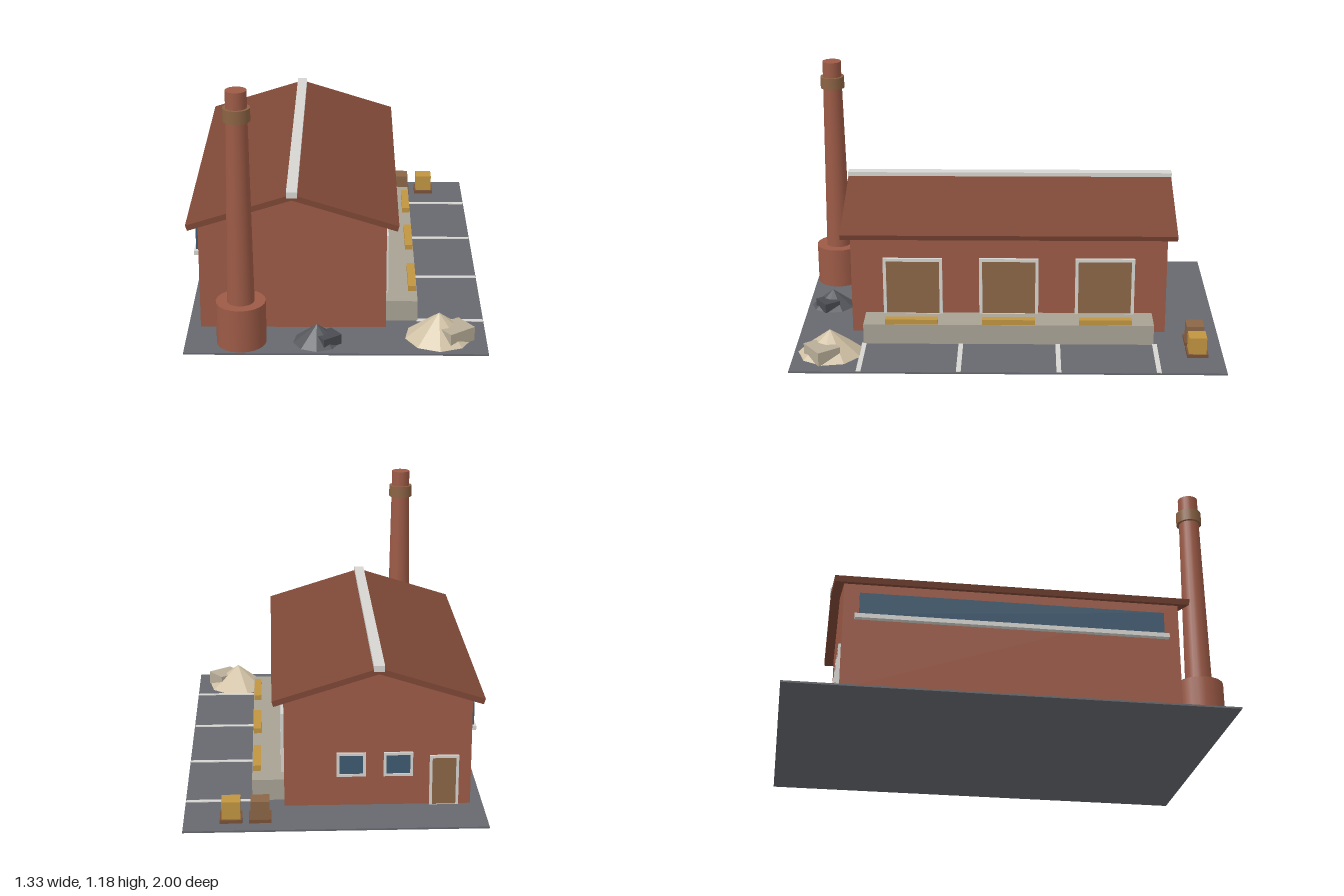
import * as THREE from 'three';

const mat = (color, extra = {}) => {
  const m = new THREE.MeshStandardMaterial({ color });
  return Object.assign(m, extra);
};

export function createModel() {
  const model = new THREE.Group();
  model.name = 'warehouse';
  const brick = mat(0x9c5a46), roofMat = mat(0x7d4735), trim = mat(0xd6d5d0);
  const timber = mat(0x8b6647), yellow = mat(0xc09440), glass = mat(0x3d5a70);
  const concrete = mat(0xa8a294), asphalt = mat(0x66686e);
  const GROUND = 0.008;

  const add = (name, geometry, material, x = 0, y = 0, z = 0, parent = model) => {
    const mesh = new THREE.Mesh(geometry, material);
    mesh.name = name;
    mesh.position.set(x, y, z);
    parent.add(mesh);
    return mesh;
  };
  // Box given by its minimum and maximum on each axis
  const box = (name, material, x0, x1, y0, y1, z0, z1, parent) =>
    add(name, new THREE.BoxGeometry(x1 - x0, y1 - y0, z1 - z0), material,
      (x0 + x1) / 2, (y0 + y1) / 2, (z0 + z1) / 2, parent);
  // Outline in x and y, extruded symmetrically along z
  const prism = (name, points, depth, material) => {
    const shape = new THREE.Shape(points.map(([x, y]) => new THREE.Vector2(x, y)));
    const g = new THREE.ExtrudeGeometry(shape, { depth, bevelEnabled: false });
    return add(name, g.translate(0, 0, -depth / 2), material);
  };

  // Yard and parking lines
  box('yard', asphalt, -0.665, 0.665, 0, GROUND, -1, 1);
  for (const z of [-0.69, -0.233, 0.225, 0.682])
    box('parkingLine', trim, 0.362, 0.663, GROUND, 0.011, z - 0.011, z + 0.011);

  // Gabled hall, overhanging roof and ridge cap
  const RIDGE = -0.194;
  prism('walls', [[-0.61, GROUND], [0.222, GROUND], [0.222, 0.508], [RIDGE, 0.638], [-0.61, 0.508]], 1.5, brick);
  prism('roof', [[-0.652, 0.496], [RIDGE, 0.641], [0.268, 0.496], [0.275, 0.521],
    [RIDGE, 0.668], [-0.66, 0.521]], 1.585, roofMat);
  box('ridgeCap', trim, RIDGE - 0.024, RIDGE + 0.024, 0.652, 0.68, -0.795, 0.795);

  // Framed opening facing +z, standing on its local origin
  const opening = (name, w, h, t, depth, fill, sill) => {
    const group = new THREE.Group();
    group.name = name;
    const outer = new THREE.Shape([[-w / 2, 0], [w / 2, 0], [w / 2, h], [-w / 2, h]].map(p => new THREE.Vector2(...p)));
    const b = sill ? t : 0.0005, i = w / 2 - t;
    outer.holes.push(new THREE.Path([[-i, b], [-i, h - t], [i, h - t], [i, b]].map(p => new THREE.Vector2(...p))));
    add('frame', new THREE.ExtrudeGeometry(outer, { depth, bevelEnabled: false }), trim, 0, 0, 0, group);
    box('panel', fill, -i, i, b, h - t, 0, depth * 0.6, group);
    model.add(group);
    return group;
  };

  // Loading dock with doors and bumpers
  box('loadingDock', concrete, 0.222, 0.366, GROUND, 0.106, -0.685, 0.685);
  for (const z of [-0.457, 0, 0.457]) {
    const door = opening('loadingDoor', 0.282, 0.282, 0.015, 0.013, timber, false);
    door.position.set(0.222, 0.106, z);
    door.rotation.y = Math.PI / 2;
    box('dockBumper', yellow, 0.327, 0.363, 0.106, 0.131, z - 0.124, z + 0.124);
  }

  // Window strip and sill on the far side
  box('windowStrip', glass, -0.627, -0.61, 0.355, 0.46, -0.68, 0.68);
  box('windowSill', trim, -0.635, -0.61, 0.338, 0.358, -0.7, 0.7);

  // Back windows and door
  for (const [name, x, y, w, h, fill] of [
    ['backWindow', -0.075, 0.148, 0.13, 0.112, glass],
    ['backWindow', -0.285, 0.148, 0.13, 0.112, glass],
    ['backDoor', -0.49, GROUND, 0.13, 0.235, timber]]) {
    const o = opening(name, w, h, 0.012, 0.011, fill, name === 'backWindow');
    o.position.set(x, y, -0.75);
    o.rotation.y = Math.PI;
  }

  // Chimney: wide base, tapering shaft and collar
  const chimney = new THREE.Group();
  chimney.name = 'chimney';
  chimney.position.set(-0.417, 0, 0.885);
  model.add(chimney);
  const tube = (name, r0, r1, y0, y1, material) =>
    add(name, new THREE.CylinderGeometry(r1, r0, y1 - y0, 20), material, 0, (y0 + y1) / 2, 0, chimney);
  tube('chimneyBase', 0.11, 0.11, GROUND, 0.207, brick);
  tube('chimneyShaft', 0.061, 0.046, 0.2, 1.1, brick);
  tube('chimneyTop', 0.046, 0.046, 1.09, 1.176, brick);
  tube('chimneyCollar', 0.059, 0.059, 1.042, 1.1, mat(0x8b6344));

  // Heaps of material, each with a block sticking out
  const heap = (name, x, z, r, h, s, color, blockColor) => {
    const group = new THREE.Group();
    group.name = name;
    group.position.set(x, GROUND, z);
    model.add(group);
    add('pile', new THREE.ConeGeometry(r, h, 9), mat(color, { flatShading: true }), 0, h / 2, 0, group);
    add('block', new THREE.BoxGeometry(0.136 * s, 0.065 * s, 0.115 * s), mat(blockColor),
      0.068 * s, 0.0325 * s, 0.032 * s, group).rotation.y = 0.63;
  };
  heap('gravelHeap', 0.455, 0.83, 0.152, 0.115, 1, 0xcfc0a4, 0xb8ad98);
  heap('coalHeap', -0.085, 0.88, 0.106, 0.082, 0.7, 0x55575c, 0x4a4c52);

  // Crates on pallets
  for (const [x, material] of [[0.33, timber], [0.457, yellow]]) {
    box('pallet', mat(0x7a5238), x - 0.049, x + 0.049, GROUND, 0.024, -0.929, -0.831);
    box('crate', material, x - 0.041, x + 0.041, 0.024, 0.105, -0.921, -0.839);
  }
  return model;
}
